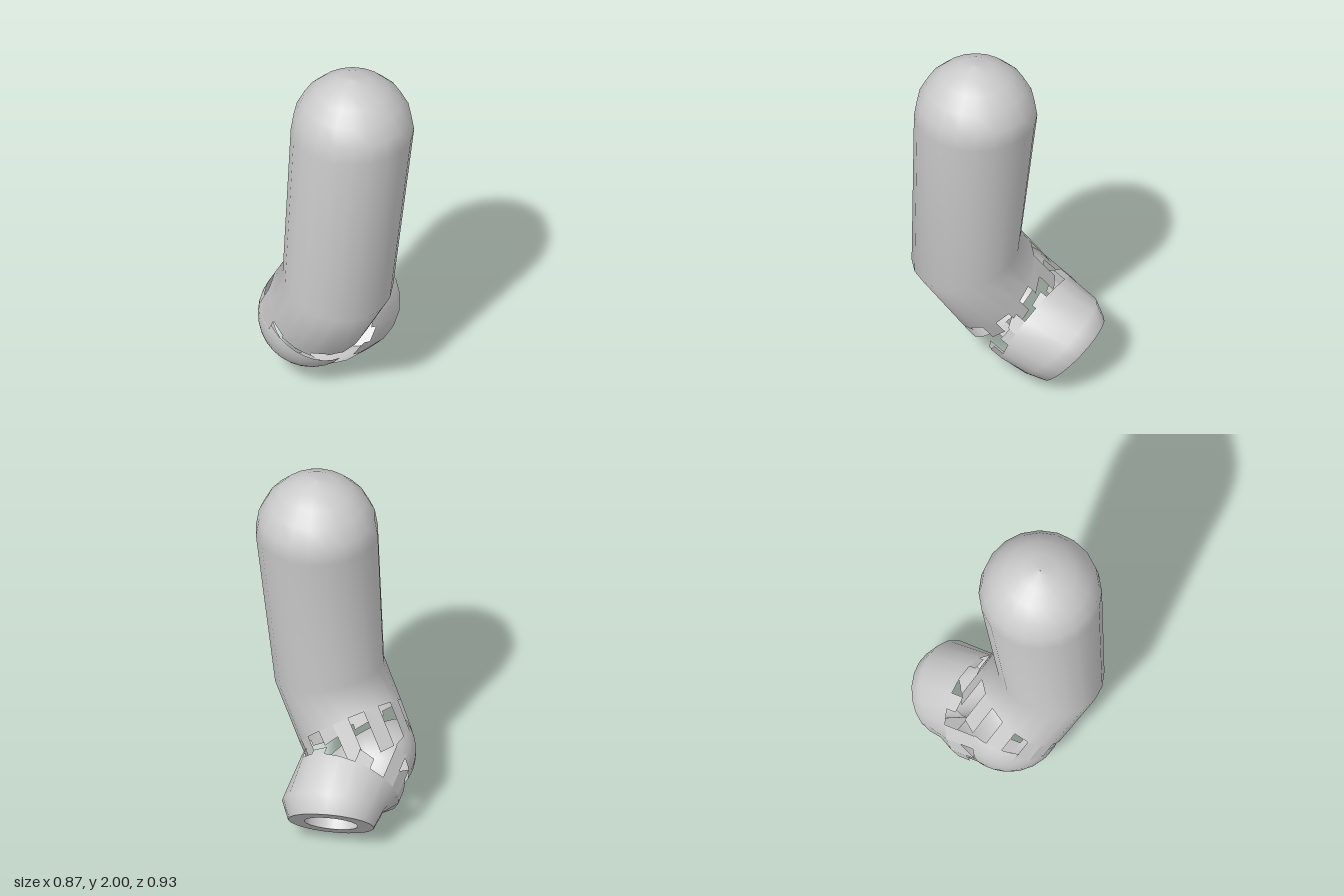
import * as THREE from 'three';

const SIDES = 20;
const V = (x, y, z) => new THREE.Vector3(x, y, z);

// One circular cross-section: centre c, plane normal n, radius r, start direction ref
function ring(c, n, r, ref) {
  const u = ref.clone().addScaledVector(n, -ref.dot(n)).normalize();
  const v = n.clone().cross(u);
  return Array.from({ length: SIDES }, (_, j) => {
    const a = (j / SIDES) * Math.PI * 2;
    return c.clone().addScaledVector(u, r * Math.cos(a)).addScaledVector(v, r * Math.sin(a));
  });
}

function geometry(points, index) {
  const g = new THREE.BufferGeometry().setFromPoints(points);
  g.setIndex(index);
  g.computeVertexNormals();
  return g;
}

// Skin stretched over consecutive rings
function skin(rings) {
  const index = [];
  for (let i = 0; i < rings.length - 1; i++) {
    for (let j = 0; j < SIDES; j++) {
      const k = (j + 1) % SIDES, a = i * SIDES, b = a + SIDES;
      index.push(a + j, a + k, b + j, a + k, b + k, b + j);
    }
  }
  return geometry(rings.flat(), index);
}

// Torn strips reaching from one ring towards another by the given fractions
function strips(from, to, reach, flip) {
  const points = [], index = [];
  reach.forEach((f, j) => {
    if (f === 0) return;
    const k = (j + 1) % SIDES, s = points.length;
    const f2 = f === 1 ? 1 : f * (j % 2 ? 0.6 : 1.25);
    points.push(from[j].clone(), from[k].clone(),
      from[j].clone().lerp(to[j], f), from[k].clone().lerp(to[k], f2));
    index.push(...(flip ? [s, s + 2, s + 1, s + 1, s + 2, s + 3] : [s, s + 1, s + 2, s + 1, s + 3, s + 2]));
  });
  return geometry(points, index);
}

export function createModel() {
  const group = new THREE.Group();
  const material = new THREE.MeshStandardMaterial({ color: 0xcccccc, side: THREE.DoubleSide });
  const add = (name, geo) => {
    const m = new THREE.Mesh(geo, material);
    m.name = name;
    group.add(m);
    return m;
  };

  // Centre line: top of limb, upper bend, elbow, open end
  const top = V(-0.055, 1.68, 0.148), bend = V(-0.145, 0.75, 0.145);
  const elbow = V(-0.13, 0.36, -0.11), end = V(0.25, 0.165, -0.26);
  const down = V(0, -1, 0);
  const d2 = elbow.clone().sub(bend).normalize();
  const d3 = end.clone().sub(elbow).normalize();
  const endNormal = V(0.59, -0.67, -0.44).normalize();
  const X = V(1, 0, 0), Y = V(0, 1, 0);

  // Long limb with a domed top, bending backwards to a torn edge
  const rings = [];
  for (let i = 0; i < 6; i++) {
    const a = ((5 - i) / 5) * Math.PI / 2;
    rings.push(ring(top.clone().addScaledVector(Y, 0.32 * Math.sin(a)), down, Math.max(0.32 * Math.cos(a), 0.0005), X));
  }
  const miter = down.clone().add(d2).normalize();
  const tornEdge = ring(bend.clone().addScaledVector(d2, 0.3), V(0.15, -0.7, -0.69).normalize(), 0.285, X);
  rings.push(ring(bend, miter, 0.29, X), tornEdge);
  add('upperLimb', skin(rings));
  add('upperTornStrips', strips(tornEdge, ring(elbow, d2, 0.28, X),
    [0.5, 0, 0.6, 0, 0.25, 0.2, 0, 0.3, 0.15, 0, 0.7, 1, 0, 1, 0, 1, 0, 1, 0.3, 0], false));

  // Rounded outer shell of the elbow
  const shell = add('elbowShell', new THREE.SphereGeometry(0.28, 8, 16, -0.72, 1.44));
  const axis = d2.clone().cross(d3).normalize();
  const inward = d3.clone().sub(d2).normalize();
  shell.quaternion.setFromRotationMatrix(
    new THREE.Matrix4().makeBasis(inward, axis, inward.clone().cross(axis)));
  shell.position.copy(elbow);

  // Short end section, tapering to the rim
  const cuffStart = ring(elbow.clone().addScaledVector(d3, 0.2), d3, 0.28, Y);
  const rim = ring(end, endNormal, 0.225, Y);
  add('endCuff', skin([cuffStart, ring(end.clone().addScaledVector(endNormal, -0.1), endNormal, 0.267, Y), rim]));
  add('cuffTornStrips', strips(cuffStart, ring(elbow, d3, 0.28, Y),
    [0, 0.2, 0, 0.4, 0.2, 0, 0.3, 0, 0.5, 0, 1, 0, 0.3, 0, 0.4, 0.8, 1, 0, 0.3, 0], true));

  // Flat rim face and the socket inside it
  const mouth = ring(end, endNormal, 0.14, Y);
  add('rimFace', skin([rim, mouth]));
  add('socketWall', skin([mouth, ring(end.clone().addScaledVector(endNormal, -0.2), endNormal, 0.14, Y)]));
  return group;
}
